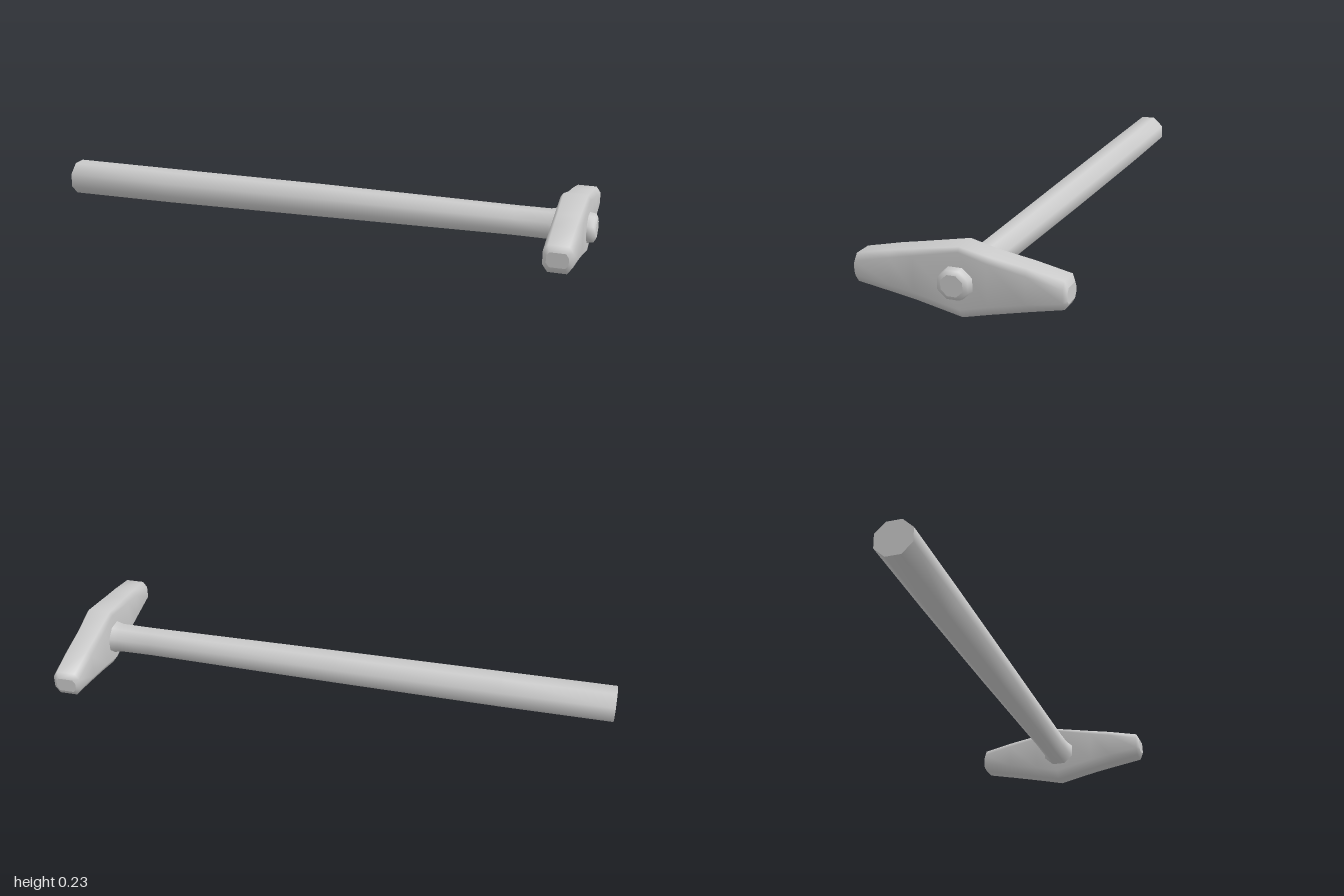
import * as THREE from 'three';

const material = new THREE.MeshStandardMaterial({ color: 0xcccccc });

// Skin a list of equal-sized rings (counter-clockwise about the travel axis), with flat end caps
function loft(name, rings) {
  const n = rings[0].length, pos = [], idx = [];
  rings.forEach(r => r.forEach(p => pos.push(...p)));
  for (let i = 0; i < rings.length - 1; i++) {
    for (let j = 0; j < n; j++) {
      const a = i * n + j, b = i * n + (j + 1) % n;
      idx.push(a, b, b + n, a, b + n, a + n);
    }
  }
  [rings[0], rings[rings.length - 1]].forEach((ring, end) => {
    const base = pos.length / 3;
    ring.forEach(p => pos.push(...p));
    for (let j = 1; j < n - 1; j++) {
      if (end) idx.push(base, base + j, base + j + 1);
      else idx.push(base, base + j + 1, base + j);
    }
  });
  const geo = new THREE.BufferGeometry();
  geo.setAttribute('position', new THREE.Float32BufferAttribute(pos, 3));
  geo.setIndex(idx);
  geo.computeVertexNormals();
  const mesh = new THREE.Mesh(geo, material);
  mesh.name = name;
  return mesh;
}

// Octagonal handle section at x, spanning y0..y1 and z0..z1
function handleRing([x, y0, y1, z0, z1]) {
  const k = 0.5 / Math.cos(Math.PI / 8);
  return Array.from({ length: 8 }, (_, j) => {
    const a = (j + 0.5) * Math.PI / 4;
    return [x, (y0 + y1) / 2 + (y1 - y0) * k * Math.cos(a), (z0 + z1) / 2 + (z1 - z0) * k * Math.sin(a)];
  });
}

// Chamfered rectangular head section at z, spanning y0..y1, half thickness w,
// with lower chamfer b and upper chamfer t
function headRing([z, y0, y1, w, b, t]) {
  const cx = 0.92;
  return [
    [-w + b * 0.7, y0], [w - b * 0.7, y0], [w, y0 + b], [w, y1 - t],
    [w - t * 0.7, y1], [-w + t * 0.7, y1], [-w, y1 - t], [-w, y0 + b],
  ].map(([x, y]) => [cx + x, y, z]);
}

export function createModel() {
  const group = new THREE.Group();
  group.name = 'hammer';

  // Long shaft, thicker at the grip, flaring where it meets the head
  group.add(loft('handle', [
    [-1, 0.04, 0.16, -0.053, 0.074],
    [-0.6, 0.043, 0.161, -0.056, 0.07],
    [0, 0.053, 0.163, -0.057, 0.06],
    [0.72, 0.066, 0.162, -0.053, 0.049],
    [0.84, 0.066, 0.163, -0.055, 0.05],
    [0.88, 0.06, 0.172, -0.066, 0.06],
  ].map(handleRing)));

  // Double-ended head, tallest in the middle
  group.add(loft('head', [
    [-0.345, 0.09, 0.14, 0.036, 0.014, 0.014],
    [-0.335, 0.073, 0.162, 0.049, 0.025, 0.022],
    [-0.22, 0.048, 0.186, 0.05, 0.03, 0.02],
    [-0.1, 0.021, 0.206, 0.05, 0.032, 0.018],
    [-0.01, 0, 0.227, 0.051, 0.032, 0.014],
    [0.14, 0.033, 0.2, 0.05, 0.032, 0.018],
    [0.22, 0.048, 0.186, 0.05, 0.03, 0.02],
    [0.337, 0.069, 0.161, 0.049, 0.025, 0.022],
    [0.348, 0.09, 0.14, 0.036, 0.014, 0.014],
  ].map(headRing)));

  // Shaft end showing through the outer face of the head
  group.add(loft('handleTip', [
    [0.955, 0.064, 0.17, -0.058, 0.057],
    [0.975, 0.069, 0.165, -0.053, 0.052],
    [0.993, 0.072, 0.162, -0.05, 0.049],
    [1, 0.084, 0.15, -0.036, 0.035],
  ].map(handleRing)));

  return group;
}
